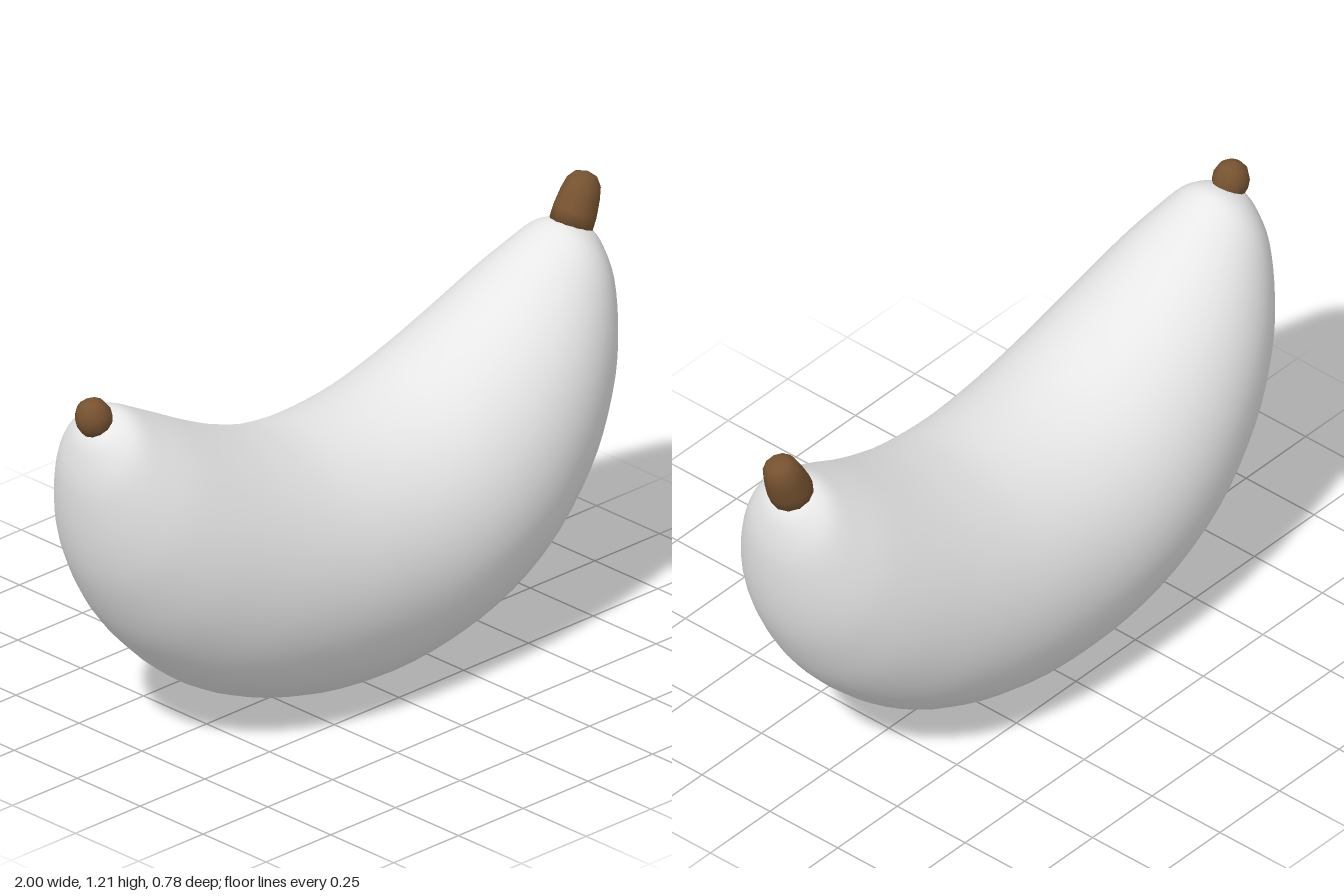
import * as THREE from 'three';

const skin = new THREE.MeshStandardMaterial({ name: 'pale skin', color: 0xe7e7e7 });
const brown = new THREE.MeshStandardMaterial({ name: 'brown stem', color: 0x765230 });

// Cross-sections from the middle to one end: upper x, y, lower x, y, half width
const half = [
  [0, 0.79, 0, 0.005, 0.39],
  [0.19, 0.807, 0.31, 0.045, 0.385],
  [0.37, 0.863, 0.58, 0.155, 0.36],
  [0.53, 0.935, 0.79, 0.34, 0.315],
  [0.67, 1.01, 0.91, 0.525, 0.26],
  [0.76, 1.058, 0.97, 0.69, 0.205],
  [0.83, 1.093, 0.995, 0.87, 0.145],
  [0.875, 1.095, 0.985, 0.99, 0.085],
  [0.92, 1.078, 0.965, 1.045, 0.035],
  [0.945, 1.062, 0.945, 1.062, 0],
];

// Curved, tapering fruit lofted through the mirrored cross-sections
function bodyGeometry(steps = 72, sides = 40) {
  const rows = [
    ...half.slice(1).reverse().map(([ux, uy, lx, ly, w]) => [-ux, uy, -lx, ly, w]),
    ...half,
  ];
  const spline = (f) => new THREE.SplineCurve(rows.map((r, i) => new THREE.Vector2(...f(r, i))));
  const upper = spline((r) => [r[0], r[1]]);
  const lower = spline((r) => [r[2], r[3]]);
  const width = spline((r, i) => [i, r[4]]);
  const positions = [];
  const index = [];
  for (let i = 0; i <= steps; i++) {
    const u = upper.getPoint(i / steps);
    const l = lower.getPoint(i / steps);
    const w = width.getPoint(i / steps).y;
    for (let j = 0; j < sides; j++) {
      const a = (j / sides) * Math.PI * 2;
      const k = (1 + Math.cos(a)) / 2;
      positions.push(l.x + (u.x - l.x) * k, l.y + (u.y - l.y) * k, Math.sin(a) * w);
      if (i === steps) continue;
      const p = i * sides + j;
      const q = i * sides + ((j + 1) % sides);
      index.push(p, q, p + sides, q, q + sides, p + sides);
    }
  }
  const g = new THREE.BufferGeometry();
  g.setAttribute('position', new THREE.Float32BufferAttribute(positions, 3));
  g.setIndex(index);
  g.computeVertexNormals();
  return g;
}

// Rounded stub turned about its own axis, then leaned outward
function stub(name, profile, x, y, lean) {
  const points = profile.map(([r, h]) => new THREE.Vector2(r, h));
  const mesh = new THREE.Mesh(new THREE.LatheGeometry(points, 12), brown);
  mesh.name = name;
  mesh.position.set(x, y, 0);
  mesh.rotation.z = lean;
  return mesh;
}

export function createModel() {
  const group = new THREE.Group();
  group.name = 'fruit';
  const body = new THREE.Mesh(bodyGeometry(), skin);
  body.name = 'body';
  group.add(body);
  // Long stem at the left end, small blossom tip at the right end
  group.add(stub('stem',
    [[0, 0], [0.064, 0], [0.064, 0.05], [0.058, 0.1], [0.05, 0.135], [0.032, 0.158], [0, 0.167]],
    0.903, 1.06, -0.42));
  group.add(stub('blossomTip',
    [[0, 0], [0.044, 0], [0.052, 0.025], [0.052, 0.05], [0.04, 0.077], [0.022, 0.09], [0, 0.094]],
    -0.925, 1.056, 0.3));
  return group;
}
